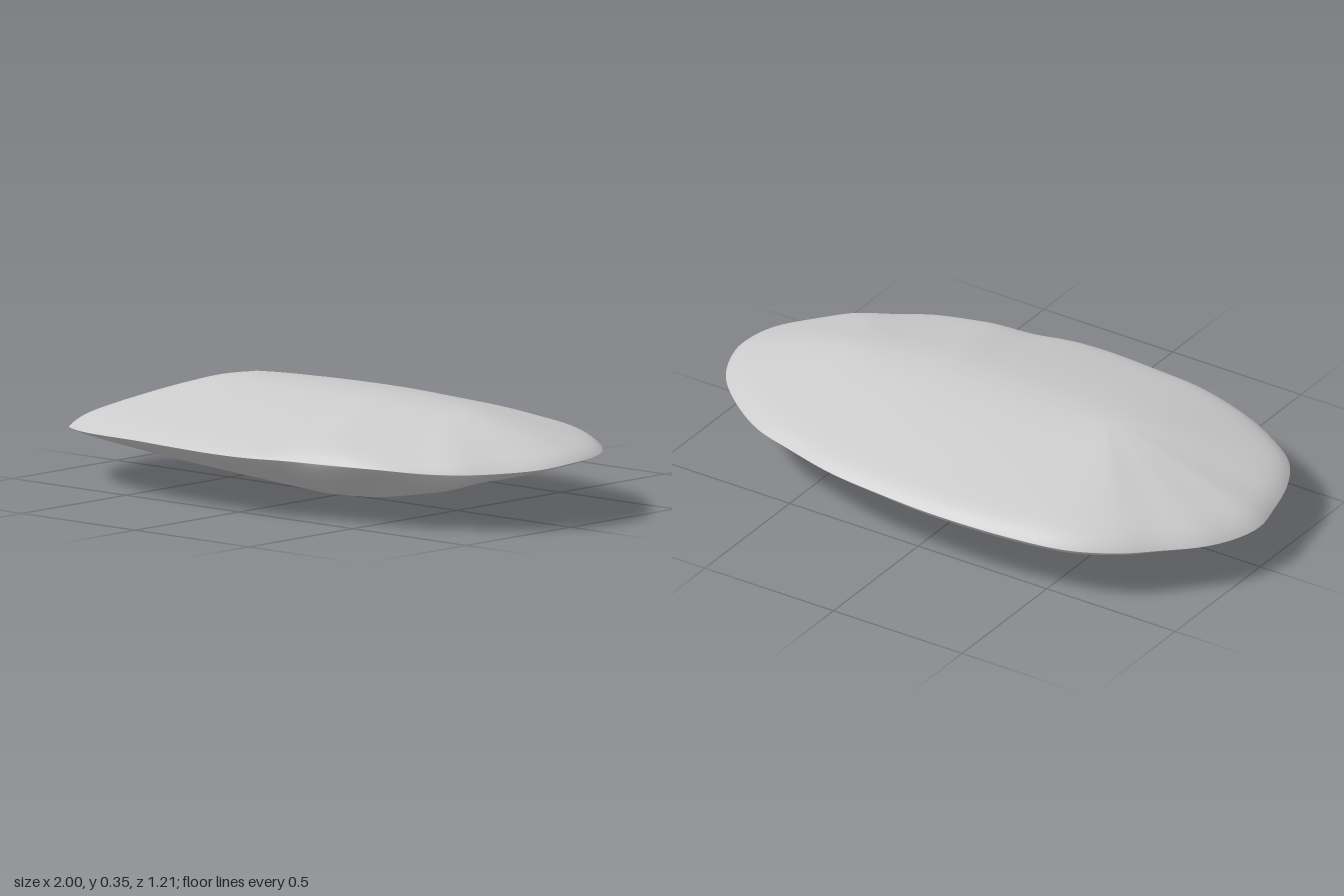
import * as THREE from 'three';

const { clamp, lerp, smoothstep } = THREE.MathUtils;

// Rim of the pebble: [x, y, z], running from its left round the front
const RIM = [
  [1, 0.21, -0.02], [0.98, 0.2, 0.13], [0.85, 0.19, 0.3], [0.73, 0.19, 0.39], [0.58, 0.2, 0.48],
  [0.4, 0.2, 0.52], [0.24, 0.2, 0.55], [0.11, 0.2, 0.59], [-0.03, 0.2, 0.6], [-0.2, 0.2, 0.59],
  [-0.4, 0.2, 0.57], [-0.6, 0.19, 0.52], [-0.74, 0.18, 0.46], [-0.87, 0.17, 0.37], [-0.94, 0.16, 0.25],
  [-0.975, 0.15, 0.12], [-1, 0.15, 0], [-0.98, 0.15, -0.1], [-0.93, 0.16, -0.22], [-0.83, 0.17, -0.34],
  [-0.74, 0.18, -0.44], [-0.6, 0.19, -0.53], [-0.4, 0.2, -0.58], [-0.12, 0.21, -0.605], [0.1, 0.21, -0.59],
  [0.3, 0.21, -0.565], [0.5, 0.21, -0.51], [0.65, 0.21, -0.46], [0.8, 0.21, -0.36], [0.92, 0.21, -0.24],
  [0.98, 0.21, -0.12],
];
const COLS = 180, ROWS = 32;

const bump = (x, centre, width) => Math.exp(-(((x - centre) / width) ** 2));

// Rises from 0 at the rim to 1 at the ridge: nearly straight for small e, domed for large e
function slope(t, e) {
  const full = Math.hypot(1, e);
  return (full - Math.hypot(1 - t, e)) / (full - e);
}

// Point between the rim (t = 0) and the ridge line of the upper or lower face (t = 1)
function surfacePoint(p, t, top) {
  const x = top ? clamp(p.x * 0.55, -0.4, 0.5) : clamp(p.x * 0.75, -0.68, 0.06);
  const y = top ? 0.352 - 0.055 * Math.max(0, x - 0.2) : 0.065 * Math.abs(x);
  // The back right is fuller; two blunt chips mark the front left edge
  const full = smoothstep(-p.z, 0.25, 0.58) * smoothstep(-p.x, -0.4, 0.4);
  const chips = (bump(p.x, 0.37, 0.15) + bump(p.x, 0.8, 0.13)) * smoothstep(p.z, 0.1, 0.35);
  const back = smoothstep(-p.z, 0.15, 0.5);
  const blunt = (top ? 0.14 : 0.05) + 0.04 * back + 0.05 * full + (top ? 0.14 : 0.22) * chips;
  const dome = top ? lerp(0.35, 0.5, full) : lerp(0.15, 0.6, full);
  const f = (1 - blunt) * slope(t, dome) + blunt * (1 - (1 - t) ** 18);
  return [p.x + (x - p.x) * t, p.y + (y - p.y) * f, p.z * (1 - t)];
}

function pebbleGeometry() {
  const rim = new THREE.CatmullRomCurve3(RIM.map(p => new THREE.Vector3(...p)), true);
  const positions = [], index = [], rows = 2 * ROWS + 1;
  for (let i = 0; i < COLS; i++) {
    const p = rim.getPointAt(i / COLS);
    for (let j = 0; j < rows; j++) {
      const s = (j - ROWS) / ROWS;
      positions.push(...surfacePoint(p, s * s, s > 0));
    }
  }
  for (let i = 0; i < COLS; i++) {
    for (let j = 0; j < rows - 1; j++) {
      const a = i * rows + j, b = ((i + 1) % COLS) * rows + j;
      index.push(a, a + 1, b, b, a + 1, b + 1);
    }
  }
  const geometry = new THREE.BufferGeometry();
  geometry.setAttribute('position', new THREE.Float32BufferAttribute(positions, 3));
  geometry.setIndex(index);
  geometry.computeVertexNormals();
  return geometry;
}

export function createModel() {
  const group = new THREE.Group();
  group.name = 'flatStone';
  const stone = new THREE.Mesh(pebbleGeometry(), new THREE.MeshStandardMaterial({ color: 0xcccccc }));
  stone.name = 'stone';
  group.add(stone);
  return group;
}
